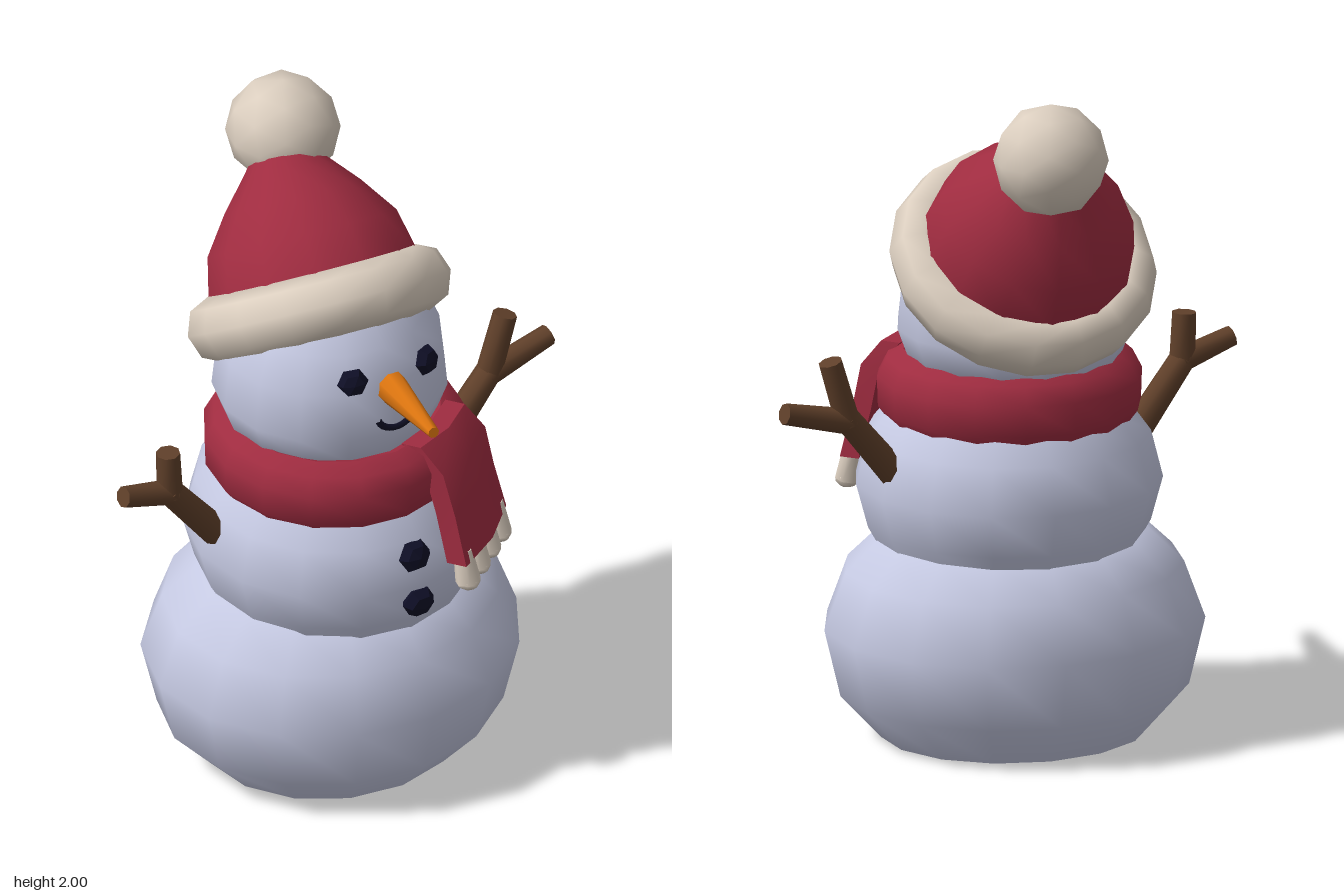
import * as THREE from 'three';
import { toCreasedNormals } from 'three/addons/utils/BufferGeometryUtils.js';

const V = (x, y, z) => new THREE.Vector3(x, y, z);
const UP = V(0, 1, 0);

function material(name, color) {
  const m = new THREE.MeshStandardMaterial({ color });
  m.name = name;
  return m;
}

export function createModel() {
  const snow = material('snow', 0xc5c9e2);
  const red = material('red cloth', 0x9f2c40);
  const cream = material('cream wool', 0xdbcebf);
  const wood = material('brown wood', 0x60402a);
  const orange = material('carrot orange', 0xd9730f);
  const coal = material('coal', 0x0f0f26);

  const model = new THREE.Group();
  model.name = 'snowman';

  function add(name, geometry, mat, position = V(0, 0, 0), parent = model) {
    const mesh = new THREE.Mesh(geometry, mat);
    mesh.name = name;
    mesh.position.copy(position);
    parent.add(mesh);
    return mesh;
  }
  const lathe = (points, sides) => toCreasedNormals(
    new THREE.LatheGeometry(points.map(p => new THREE.Vector2(...p)), sides), 0.72);

  // Tapered rod between two points
  function rod(name, a, b, r0, r1, mat, sides, parent = model) {
    const dir = b.clone().sub(a);
    const geo = toCreasedNormals(new THREE.CylinderGeometry(r1, r0, dir.length(), sides), 1.1);
    const mesh = add(name, geo, mat, a.clone().add(b).multiplyScalar(0.5), parent);
    mesh.quaternion.setFromUnitVectors(UP, dir.normalize());
    return mesh;
  }

  // Three snowballs
  add('lowerBody', lathe([[0, 0], [0.4, 0], [0.52, 0.13], [0.568, 0.33], [0.505, 0.5],
    [0.4, 0.6], [0.2, 0.64], [0, 0.65]], 15), snow, V(-0.028, 0, -0.015)).scale.z = 0.92;
  add('middleBody', lathe([[0, 0.52], [0.37, 0.55], [0.415, 0.63], [0.45, 0.76], [0.415, 0.9],
    [0.35, 0.98], [0, 1.02]], 15), snow, V(-0.015, 0, -0.005));
  add('head', lathe([[0, 1.05], [0.25, 1.08], [0.315, 1.14], [0.348, 1.23], [0.332, 1.38],
    [0.285, 1.49], [0.18, 1.6], [0, 1.66]], 15), snow, V(-0.022, 0, -0.03)).scale.z = 0.97;

  // Coal eyes and buttons
  function lump(name, x, y, z, r, turn, tilt) {
    const geo = new THREE.SphereGeometry(r, 6, 4).rotateX(Math.PI / 2).scale(1, 1, 0.7).toNonIndexed();
    geo.computeVertexNormals();
    add(name, geo, coal, V(x, y, z)).rotation.set(tilt, turn, 0);
  }
  lump('rightEye', -0.135, 1.415, 0.252, 0.047, -0.4, -0.2);
  lump('leftEye', 0.12, 1.395, 0.252, 0.047, 0.4, -0.2);
  lump('upperButton', -0.03, 0.855, 0.415, 0.053, 0, -0.2);
  lump('lowerButton', -0.03, 0.705, 0.435, 0.053, 0, 0.2);

  // Carrot nose with a blunt tip
  rod('nose', V(-0.012, 1.365, 0.25), V(-0.083, 1.416, 0.592), 0.052, 0.017, orange, 8);

  // Smile curved around the face
  const smile = [];
  for (let i = 0; i <= 8; i++) {
    const a = Math.PI * (1.05 + 0.9 * i / 8);
    const x = 0.068 * Math.cos(a);
    smile.push(V(x - 0.01, 1.292 + 0.048 * Math.sin(a), 0.303 - x * x * 1.6));
  }
  add('mouth', new THREE.TubeGeometry(new THREE.CatmullRomCurve3(smile), 12, 0.011, 5), coal);

  // Branch arms: a trunk with two twigs
  function arm(name, root, fork, upper, outer) {
    const g = new THREE.Group();
    g.name = name;
    model.add(g);
    const at = p => V(p[0], p[1], -0.035);
    rod('armTrunk', at(root), at(fork), 0.045, 0.039, wood, 8, g);
    rod('upperTwig', at([fork[0] * 0.985, fork[1] - 0.02]), at(upper), 0.039, 0.036, wood, 8, g);
    rod('outerTwig', at([fork[0] * 0.97, fork[1] - 0.015]), at(outer), 0.039, 0.032, wood, 8, g);
  }
  arm('rightArm', [-0.4, 0.81], [-0.59, 1.05], [-0.588, 1.18], [-0.745, 1.085]);
  arm('leftArm', [0.38, 0.83], [0.545, 1.025], [0.597, 1.2], [0.75, 1.065]);

  // Scarf ring
  add('scarfRing', lathe([[0.27, 0.97], [0.355, 0.945], [0.385, 0.985], [0.388, 1.075], [0.36, 1.13],
    [0.31, 1.155], [0.26, 1.13], [0.27, 0.97]], 16), red, V(-0.02, 0, -0.005));

  // Hanging scarf end; each row: y, left x, left z, right x, right z
  const rows = [
    [0.8, 0.105, 0.485, 0.375, 0.295], [0.95, 0.1, 0.435, 0.345, 0.275],
    [1.08, 0.085, 0.395, 0.325, 0.26], [1.155, 0.05, 0.33, 0.28, 0.22]];
  const tailGeo = new THREE.BoxGeometry(1, 3, 1, 2, 3, 1);
  const tp = tailGeo.attributes.position;
  for (let i = 0; i < tp.count; i++) {
    const [y, lx, lz, rx, rz] = rows[Math.round(tp.getY(i) + 1.5)];
    const t = tp.getX(i) + 0.5;
    const push = (tp.getZ(i) > 0 ? 0 : -0.06) + (Math.abs(t - 0.5) < 0.1 ? 0.02 : 0);
    tp.setXYZ(i, lx + (rx - lx) * t + push * 0.57, y, lz + (rz - lz) * t + push * 0.82);
  }
  add('scarfEnd', toCreasedNormals(tailGeo, 0.7), red);

  // Scarf tassels
  for (let i = 0; i < 4; i++) {
    const t = 0.11 + 0.26 * i;
    const x = 0.105 + 0.27 * t - 0.012, z = 0.485 - 0.19 * t - 0.015;
    rod('tassel', V(x, 0.83, z - 0.01), V(x + 0.008, 0.725, z + 0.008), 0.028, 0.038, cream, 7);
    add('tasselTip', new THREE.SphereGeometry(0.037, 7, 5).scale(1, 0.75, 1), cream, V(x + 0.008, 0.727, z + 0.008));
  }

  // Hat tipped backwards, with a woolly brim
  const hat = new THREE.Group();
  hat.name = 'hat';
  hat.position.set(-0.005, 1.435, -0.11);
  hat.quaternion.setFromUnitVectors(UP, V(0.1, 0.81, -0.58).normalize());
  model.add(hat);
  add('hatCone', lathe([[0.32, -0.02], [0.315, 0.08], [0.285, 0.21], [0.205, 0.32], [0.125, 0.41],
    [0.075, 0.47], [0, 0.49]], 13), red, undefined, hat);
  add('hatBrim', new THREE.TorusGeometry(0.312, 0.085, 8, 16).rotateX(Math.PI / 2).scale(1, 1.15, 1), cream, undefined, hat);

  // Pompom
  add('pompom', new THREE.IcosahedronGeometry(0.168, 1), cream, V(0.086, 1.836, -0.43));

  return model;
}
